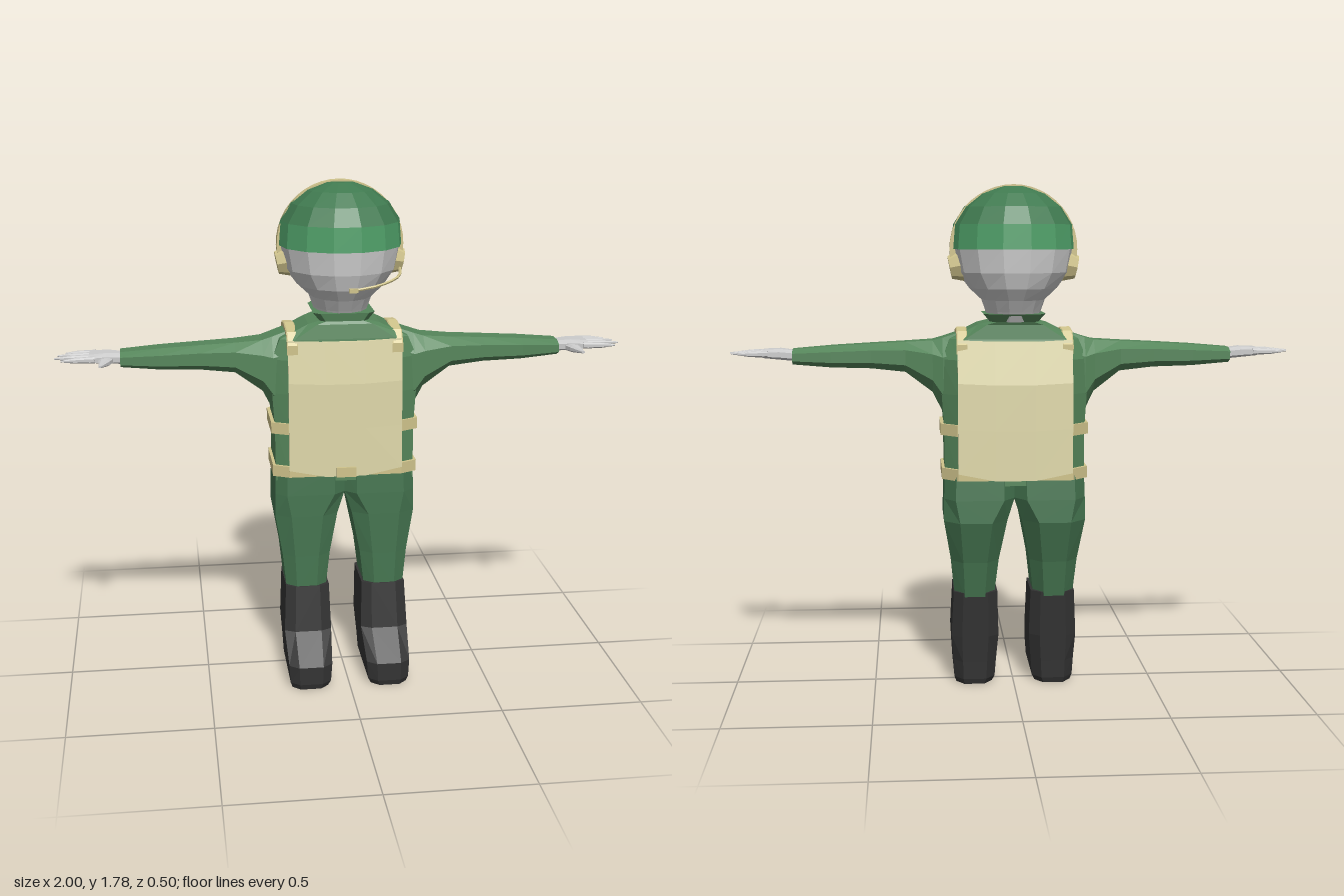
import * as THREE from 'three';

const mat = (color) => new THREE.MeshStandardMaterial({ color, flatShading: true });

// Eight-cornered section at position t on an axis; a and b span the other two axes.
// c = chamfer fractions [along a, along b at its low end, along b at its high end]
function oct(axis, t, a0, a1, b0, b1, c = [0.25, 0.25, 0.25]) {
  const ca = c[0] * (a1 - a0), lo = c[1] * (b1 - b0), hi = c[2] * (b1 - b0);
  const pts = [
    [a0 + ca, b0], [a1 - ca, b0], [a1, b0 + lo], [a1, b1 - hi],
    [a1 - ca, b1], [a0 + ca, b1], [a0, b1 - hi], [a0, b0 + lo],
  ];
  return pts.map(([a, b]) => axis === 'y' ? [a, t, b] : axis === 'x' ? [t, a, b] : [a, b, t]);
}

// Elliptical section for the head
function ellipse(y, rx, rz, n = 14) {
  return Array.from({ length: n }, (_, i) => {
    const a = (i + 0.5) / n * Math.PI * 2;
    return [rx * Math.sin(a), y, -0.04 + rz * Math.cos(a)];
  });
}

// Skin a row of sections with capped ends; side = -1 mirrors it in x
function loft(rings, side = 1) {
  const n = rings[0].length, pos = [], idx = [];
  rings.forEach((r) => r.forEach((p) => pos.push(p[0] * side, p[1], p[2])));
  for (let r = 0; r < rings.length - 1; r++) {
    for (let i = 0; i < n; i++) {
      const a = r * n + i, b = r * n + (i + 1) % n;
      idx.push(a, b, b + n, a, b + n, a + n);
    }
  }
  [0, rings.length - 1].forEach((r, end) => {
    const centre = pos.length / 3;
    pos.push(...[0, 1, 2].map((k) => rings[r].reduce((s, p) => s + p[k] * (k ? 1 : side), 0) / n));
    for (let i = 0; i < n; i++) {
      const a = r * n + i, b = r * n + (i + 1) % n;
      idx.push(...(end ? [a, b, centre] : [b, a, centre]));
    }
  });
  // Turn all faces outwards if the enclosed volume is negative
  const v = (i) => new THREE.Vector3(pos[i * 3], pos[i * 3 + 1], pos[i * 3 + 2]);
  let volume = 0;
  for (let i = 0; i < idx.length; i += 3) volume += v(idx[i]).dot(v(idx[i + 1]).cross(v(idx[i + 2])));
  if (volume < 0) idx.reverse();
  const geo = new THREE.BufferGeometry();
  geo.setAttribute('position', new THREE.Float32BufferAttribute(pos, 3));
  geo.setIndex(idx);
  geo.computeVertexNormals();
  return geo;
}

export function createModel() {
  const model = new THREE.Group();
  const jacket = mat(0x55855a), trousers = mat(0x457550), helmetGreen = mat(0x407a50);
  const bandGreen = mat(0x4f9f68), tan = mat(0xddd6a8), strapTan = mat(0xd0c48c);
  const bootBlack = mat(0x333333), grey = mat(0xcccccc);
  const add = (name, geo, material, parent = model) => {
    const mesh = new THREE.Mesh(geo, material);
    mesh.name = name;
    parent.add(mesh);
    return mesh;
  };

  // Jacket body up to the collar: y, half width, back z, front z
  const bodyChamfer = [0.11, 0.2, 0.1];
  add('torso', loft([
    [0.74, 0.245, -0.172, 0.115], [0.94, 0.247, -0.165, 0.11], [1.06, 0.255, -0.165, 0.11],
    [1.18, 0.255, -0.158, 0.105], [1.25, 0.225, -0.14, 0.098], [1.3, 0.125, -0.135, 0.09],
    [1.31, 0.085, -0.14, 0.085], [1.338, 0.108, -0.165, 0.09],
  ].map(([y, w, b, f]) => oct('y', y, -w, w, b, f, bodyChamfer))), jacket);

  // Belts around the body
  [[0.935, 0.26, -0.168, 0.114], [0.78, 0.256, -0.18, 0.122]].forEach(([y, w, b, f], i) =>
    add(i ? 'lowerBelt' : 'upperBelt', loft([y - 0.02, y + 0.02].map((h) =>
      oct('y', h, -w, w, b, f, bodyChamfer))), strapTan));

  // Vest panels: outline of (y, z) swept across x, hanging lower in the middle
  const panel = (profile, inner) => loft([-0.2, -0.07, 0.07, 0.2].map((x) => {
    const mid = Math.abs(x) < 0.1 ? 1 : 0;
    const outer = profile.map(([y, z], i) =>
      [x, y - (i === profile.length - 1 ? 0.025 : 0.006) * mid, z + Math.sign(z) * 0.006 * mid]);
    return [...outer, [x, profile.at(-1)[0], inner], [x, profile[0][0], inner]];
  }));
  add('vestFront', panel([[1.248, 0.1], [1.1, 0.117], [0.94, 0.12], [0.785, 0.124]], 0.04), tan);
  add('vestBack', panel([[1.248, -0.145], [1.1, -0.173], [0.94, -0.178], [0.785, -0.182]], -0.08), tan);
  const buckle = add('buckle', new THREE.BoxGeometry(0.07, 0.035, 0.03), strapTan);
  buckle.position.set(0, 0.777, 0.124);

  // Head, helmet rim and helmet dome
  add('head', loft([[1.31, 0.088, 0.11], [1.345, 0.098, 0.13], [1.385, 0.112, 0.155],
    [1.425, 0.155, 0.185], [1.48, 0.195, 0.203], [1.565, 0.212, 0.21]].map((r) => ellipse(...r))), grey);
  add('helmetRim', loft([ellipse(1.56, 0.217, 0.214), ellipse(1.645, 0.21, 0.208)]), bandGreen);
  add('helmetDome', loft([[1.645, 0.21, 0.208], [1.705, 0.172, 0.17], [1.75, 0.115, 0.117],
    [1.776, 0.045, 0.045]].map((r) => ellipse(...r))), helmetGreen);

  // Headset: band, ear cups and microphone boom on the left
  const headset = new THREE.Group();
  headset.name = 'headset';
  model.add(headset);
  const arc = new THREE.Shape();
  arc.absarc(0, 0, 0.223, -0.15, Math.PI + 0.15, false);
  arc.absarc(0, 0, 0.2, Math.PI + 0.15, -0.15, true);
  const headband = add('headband', new THREE.ExtrudeGeometry(arc,
    { depth: 0.036, bevelEnabled: false, curveSegments: 12 }), strapTan, headset);
  headband.position.set(0, 1.56, -0.068);
  const boom = new THREE.CatmullRomCurve3([
    [0.21, 1.475, -0.03], [0.19, 1.46, 0.07], [0.11, 1.443, 0.145], [0.02, 1.431, 0.165],
  ].map((p) => new THREE.Vector3(...p)));
  add('microphoneBoom', new THREE.TubeGeometry(boom, 8, 0.005, 5), strapTan, headset);
  const tip = add('microphone', new THREE.BoxGeometry(0.03, 0.014, 0.014), strapTan, headset);
  tip.position.set(0.02, 1.431, 0.165);

  for (const s of [1, -1]) {
    const side = s > 0 ? 'left' : 'right';
    const addSide = (name, rings, material) => add(side + name, loft(rings, s), material);

    const cup = add(side + 'EarCup', new THREE.CylinderGeometry(0.04, 0.056, 0.04, 8), strapTan, headset);
    cup.scale.z = 0.9;
    cup.rotation.z = s * (-Math.PI / 2 - 0.2);
    cup.position.set(s * 0.203, 1.5, -0.05);

    // Shoulder strap joining the two vest panels
    addSide('ShoulderStrap', [[0.108, 1.22], [0.075, 1.262], [-0.03, 1.275], [-0.11, 1.265], [-0.152, 1.22]]
      .map(([z, y]) => oct('z', z, 0.165, 0.203, y - 0.02, y + 0.013, [0.1, 0, 0.1])), strapTan);

    // Sleeve: x, bottom, top, back, front
    addSide('Sleeve', [
      [0.19, 0.98, 1.272, -0.125, 0.085], [0.25, 0.99, 1.252, -0.115, 0.088],
      [0.285, 1.06, 1.242, -0.1, 0.09], [0.38, 1.13, 1.236, -0.072, 0.083],
      [0.5, 1.143, 1.23, -0.065, 0.076], [0.64, 1.147, 1.222, -0.064, 0.073],
      [0.775, 1.158, 1.211, -0.056, 0.06],
    ].map((r) => oct('x', ...r)), jacket);

    // Hand: palm, four fingers and thumb
    addSide('Palm', [
      [0.76, 1.168, 1.205, -0.03, 0.045], [0.82, 1.174, 1.212, -0.04, 0.066],
      [0.88, 1.18, 1.209, -0.046, 0.08],
    ].map((r) => oct('x', ...r)), grey);
    [[-0.034, -0.04, 0.965], [0, -0.006, 0.99], [0.034, 0.035, 1], [0.066, 0.078, 0.975]]
      .forEach(([z0, z1, end], i) => addSide('Finger' + (i + 1), [
        [0.86, z0, 0.014], [(0.88 + end) / 2, (z0 + z1) / 2, 0.011], [end, z1, 0.003],
      ].map(([x, z, r]) => oct('x', x, 1.195 - r * 0.8, 1.195 + r * 0.8, z - r, z + r)), grey));
    addSide('Thumb', [[0.03, 0.79, 0.85, 0.015], [0.085, 0.808, 0.848, 0.012], [0.14, 0.836, 0.846, 0.004]]
      .map(([z, x0, x1, r]) => oct('z', z, x0, x1, 1.187 - r, 1.187 + r)), grey);

    // Trouser leg: y, inner x, outer x, back z, front z
    addSide('TrouserLeg', [
      [0.33, 0.07, 0.212, -0.113, 0.118], [0.46, 0.055, 0.225, -0.138, 0.118],
      [0.61, 0.026, 0.25, -0.185, 0.12], [0.69, 0, 0.249, -0.18, 0.12],
      [0.78, 0, 0.246, -0.172, 0.116],
    ].map((r) => oct('y', ...r, [r[0] > 0.65 ? 0.16 : 0.25, 0.2, 0.12])), trousers);

    // Boot with the toe pushed forward
    addSide('Boot', [
      [0, 0.078, 0.207, -0.08, 0.25], [0.02, 0.068, 0.214, -0.087, 0.256],
      [0.085, 0.063, 0.218, -0.091, 0.255], [0.18, 0.055, 0.224, -0.099, 0.148],
      [0.345, 0.06, 0.216, -0.113, 0.122],
    ].map((r) => oct('y', ...r, [0.22, 0.12, 0.08])), bootBlack);
  }
  return model;
}
